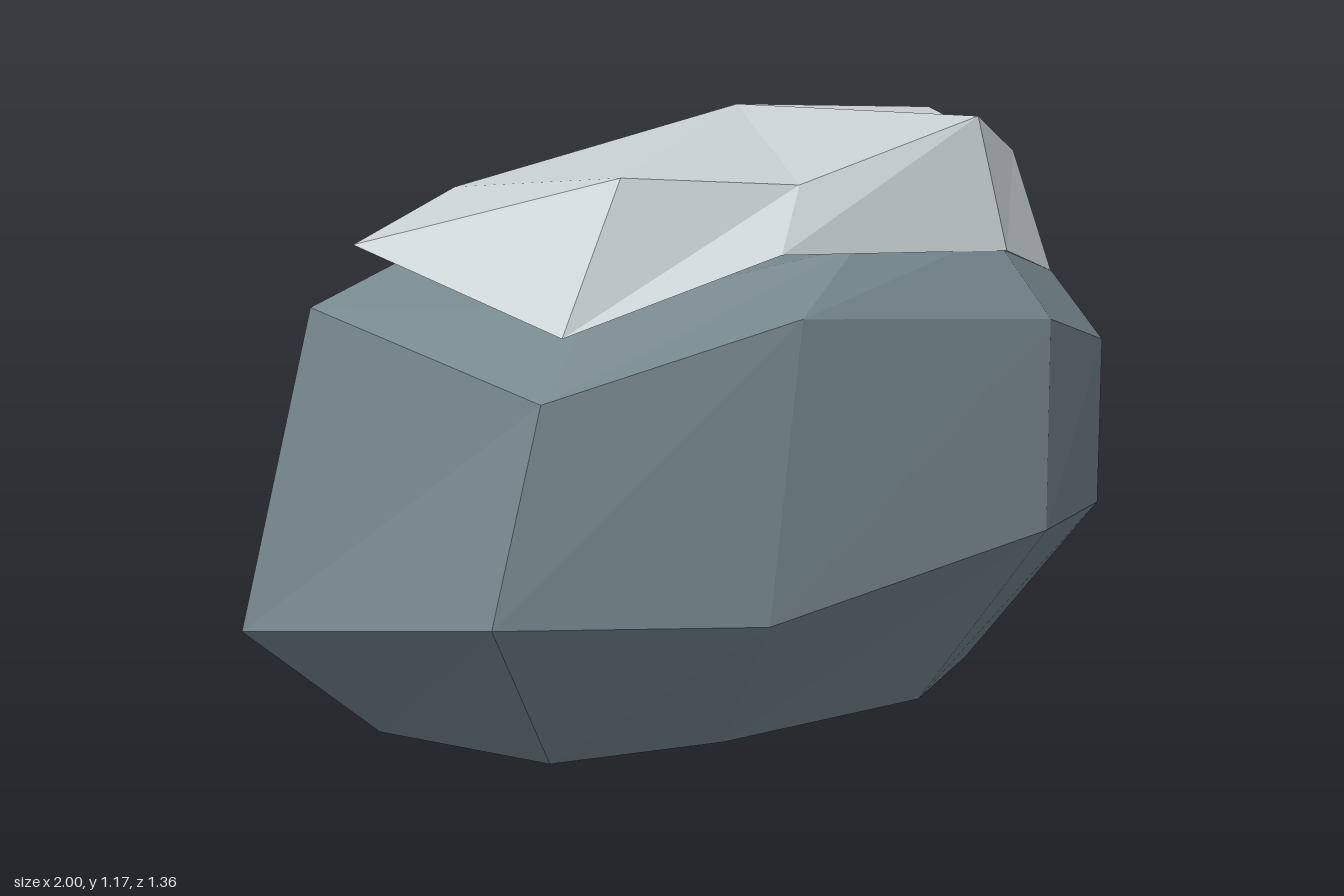
import * as THREE from 'three';

// Joins nine-sided rings from bottom to top and closes both ends with fans.
function ringSolid(rings, bottom, top, material, name) {
  const pos = [];
  const tri = (a, b, c) => pos.push(...a, ...b, ...c);
  const n = rings[0].length;
  for (let i = 0; i < n; i++) {
    const j = (i + 1) % n;
    for (let k = 0; k < rings.length - 1; k++) {
      const lo = rings[k], up = rings[k + 1];
      tri(lo[i], up[i], lo[j]);
      tri(lo[j], up[i], up[j]);
    }
    const last = rings[rings.length - 1];
    tri(rings[0][j], bottom, rings[0][i]);
    tri(last[i], top, last[j]);
  }
  const geo = new THREE.BufferGeometry();
  geo.setAttribute('position', new THREE.Float32BufferAttribute(pos, 3));
  geo.computeVertexNormals();
  const mesh = new THREE.Mesh(geo, material);
  mesh.name = name;
  return mesh;
}

export function createModel() {
  const stone = new THREE.MeshStandardMaterial({ color: 0x74858c });
  stone.name = 'slate stone';
  const pale = new THREE.MeshStandardMaterial({ color: 0xc6ced0 });
  pale.name = 'pale cap';
  stone.flatShading = pale.flatShading = true;

  // Boulder rings, each starting at the pointed left end and passing the front
  const base = [
    [0.65, 0, -0.03], [0.46, 0, 0.33], [0.1, 0, 0.45], [-0.4, 0, 0.34], [-0.72, 0, 0.18],
    [-0.74, 0, -0.23], [-0.38, 0, -0.46], [0.08, 0, -0.51], [0.38, 0, -0.31],
  ];
  const belly = [
    [1, 0.22, 0], [0.69, 0.32, 0.51], [0.2, 0.355, 0.68], [-0.5, 0.265, 0.52], [-0.98, 0.31, 0.27],
    [-1, 0.23, -0.33], [-0.5, 0.3, -0.63], [0.11, 0.33, -0.68], [0.51, 0.33, -0.42],
  ];
  const shoulder = [
    [0.96, 0.67, 0.04], [0.68, 0.67, 0.52], [0.22, 0.77, 0.67], [-0.4, 0.82, 0.52], [-0.855, 0.695, 0.28],
    [-0.875, 0.83, -0.26], [-0.4, 0.8, -0.54], [0.13, 0.805, -0.59], [0.52, 0.83, -0.35],
  ];
  const crown = [
    [0.8, 0.875, 0.05], [0.56, 0.86, 0.43], [0.19, 0.93, 0.555], [-0.16, 0.93, 0.47], [-0.64, 0.84, 0.22],
    [-0.68, 0.91, -0.2], [-0.34, 0.87, -0.43], [0.12, 0.87, -0.46], [0.44, 0.905, -0.24],
  ];

  // Cap rings: lower rim and upper shoulder
  const rim = [
    [0.82, 0.78, 0.01], [0.575, 0.82, 0.455], [0.2, 0.9, 0.58], [-0.37, 0.93, 0.45], [-0.76, 0.8, 0.25],
    [-0.78, 0.94, -0.24], [-0.37, 0.89, -0.48], [0.12, 0.91, -0.52], [0.52, 0.93, -0.31],
  ];
  const brow = [
    [0.71, 1.14, 0.06], [0.51, 1.07, 0.4], [0.2, 1.16, 0.51], [-0.26, 1.05, 0.41], [-0.58, 1.075, 0.24],
    [-0.59, 1.04, -0.155], [-0.27, 1.01, -0.36], [0.11, 1.01, -0.38], [0.4, 1.05, -0.22],
  ];

  const group = new THREE.Group();
  group.name = 'cappedBoulder';
  group.add(
    ringSolid([base, belly, shoulder, crown], [0, 0, 0], [0, 0.95, 0], stone, 'boulder'),
    ringSolid([rim, brow], [0, 0.92, 0], [0.04, 1.175, 0.04], pale, 'cap'),
  );
  return group;
}
